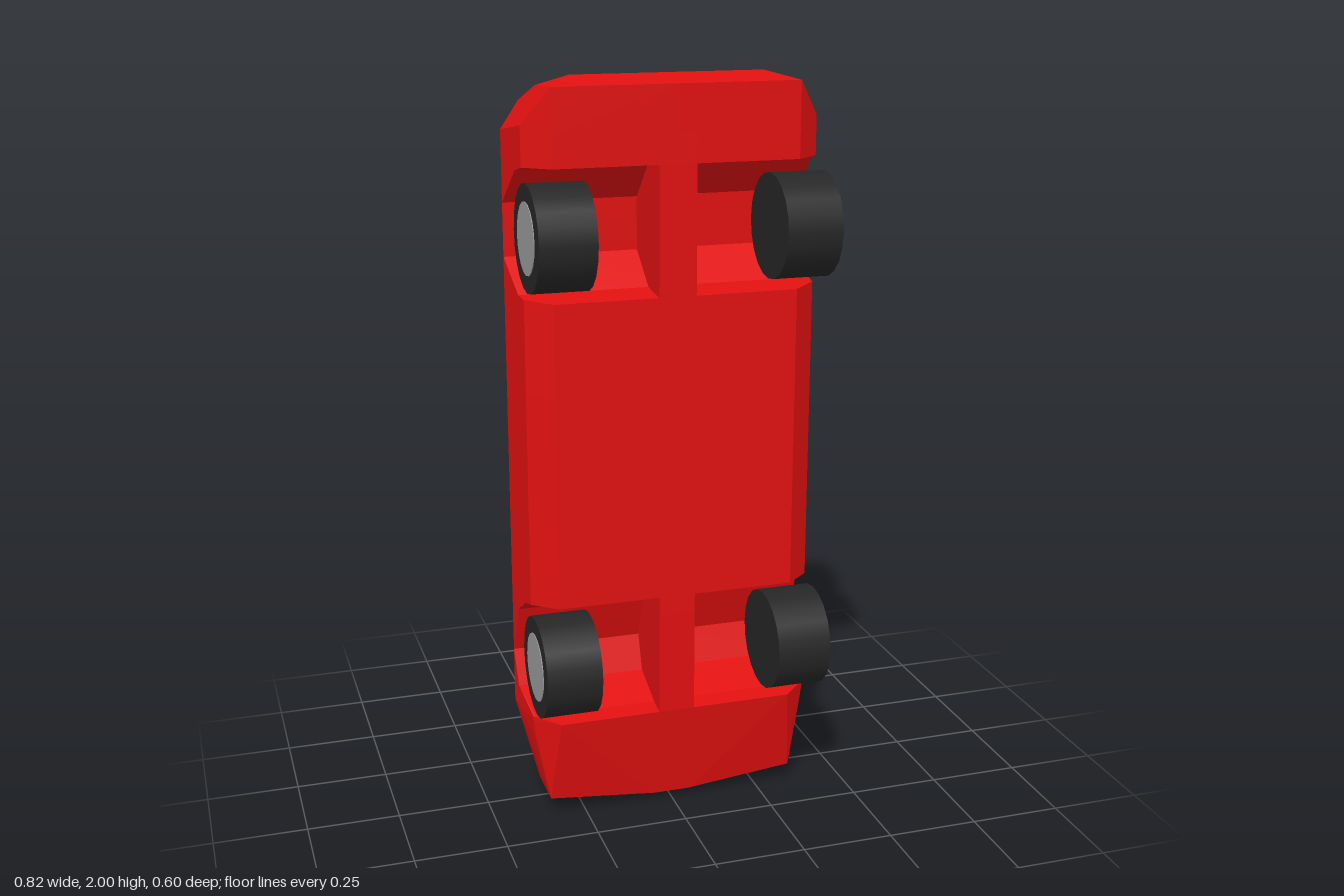
import * as THREE from 'three';

// piecewise-linear lookup through [t, value] points
function lerpAt(pts, t) {
  if (t <= pts[0][0]) return pts[0][1];
  for (let i = 1; i < pts.length; i++) {
    const [a, va] = pts[i - 1], [b, vb] = pts[i];
    if (t <= b) return va + (vb - va) * (t - a) / (b - a);
  }
  return pts[pts.length - 1][1];
}

// half width by depth z, roof depth by y, wheel-arch floor depth by y
const WIDTH = [[-0.303, 0.245], [-0.144, 0.365], [-0.035, 0.408], [0.11, 0.39], [0.165, 0.325]];
const ROOF = [[0.29, -0.157], [0.61, -0.267], [0.92, -0.3], [1.2, -0.264], [1.56, -0.11], [1.86, -0.053]];
const FLOOR = [
  [0.29, 0.165], [0.3, 0.115], [0.345, 0], [0.44, -0.035], [0.575, 0.01], [0.617, 0.07], [0.626, 0.165],
  [1.445, 0.165], [1.455, 0.07], [1.535, -0.035], [1.675, -0.035], [1.77, 0.065], [1.782, 0.165],
];
const BELT = -0.157, SHOULDER = -0.144;

export function createModel() {
  const model = new THREE.Group();
  const tris = { body: [], glass: [], grille: [], headlights: [] };

  const tri = (part, a, b, c) => {
    const n = new THREE.Vector3().subVectors(b, a).cross(new THREE.Vector3().subVectors(c, a));
    if (n.length() > 1e-7) for (const p of [a, b, c]) tris[part].push(p.x, p.y, p.z);
  };

  // closed ring around the car at height y
  function ring(y) {
    const h = lerpAt(ROOF, y), f = lerpAt(FLOOR, y);
    const at = (z) => [lerpAt(WIDTH, z), z];
    const half = [at(h), at(Math.max(h, BELT)), at(Math.max(h, SHOULDER)), at(-0.035),
      at(Math.min(0.11, f)), at(f), [0.05, f], [0.05, 0.165]];
    const right = half.map(([x, z]) => new THREE.Vector3(x, y, z));
    const left = half.map(([x, z]) => new THREE.Vector3(-x, y, z)).reverse();
    return [...right, ...left];
  }

  // main shell: loft between the rings, with glass in the cabin strips
  const levels = [...new Set([...ROOF, ...FLOOR].map((p) => p[0]).concat(1.45, 1.48))].sort((a, b) => a - b);
  const rings = levels.map(ring);
  for (let k = 0; k + 1 < rings.length; k++) {
    const lo = rings[k], hi = rings[k + 1], n = lo.length;
    const mid = (levels[k] + levels[k + 1]) / 2;
    const screen = mid < 0.61 || (mid > 1.2 && mid < 1.56);
    for (let i = 0; i < n; i++) {
      const j = (i + 1) % n;
      const part = i === 0 || i === n - 2 || (i === n - 1 && screen) ? 'glass' : 'body';
      tri(part, lo[i], hi[i], hi[j]);
      tri(part, lo[i], hi[j], lo[j]);
    }
  }

  // mirrored convex facet, turned to face away from the car's middle
  const centre = new THREE.Vector3(0, 1, 0);
  function facet(part, ...pts) {
    for (const s of [1, -1]) {
      const v = pts.map(([x, y, z]) => new THREE.Vector3(s * x, y, z));
      for (let i = 1; i + 1 < v.length; i++) {
        const [a, b, c] = [v[0], v[i], v[i + 1]];
        const n = b.clone().sub(a).cross(c.clone().sub(a));
        const out = a.clone().add(b).add(c).divideScalar(3).sub(centre);
        if (n.dot(out) > 0) tri(part, a, b, c); else tri(part, a, c, b);
      }
    }
  }
  const mid = (p) => [0, p[1], p[2]];

  // nose
  {
    const S = [lerpAt(WIDTH, -0.053), 1.86, -0.053], F = [0.408, 1.86, -0.035];
    const E0 = [0.39, 1.86, 0.11], E = [0.39, 1.885, 0.11];
    const D0 = [0.325, 1.86, 0.165], D = [0.325, 1.98, 0.165];
    const A = [0.36, 1.93, -0.04], B = [0.332, 1.973, 0.03], C = [0.255, 2, 0.075];
    const L0 = [0.155, 1.93, -0.04], L1 = [0.155, 2, 0.075];
    facet('body', S, A, mid(A), mid(S));
    facet('body', S, F, A);
    facet('body', B, A, F, E, D);
    facet('body', F, E0, E);
    facet('body', E0, D0, D, E);
    facet('body', D0, D, mid(D), mid(D0));
    facet('body', B, C, D);
    facet('body', C, D, mid(D), mid(C));
    facet('headlights', L0, A, B, C, L1);
    facet('grille', L0, L1, mid(L1), mid(L0));
  }

  // tail
  {
    const K0 = [lerpAt(WIDTH, BELT), 0.29, BELT], K = [0.353, 0.13, BELT];
    const R = [0.365, 0.29, SHOULDER], W = [0.408, 0.29, -0.035];
    const P1 = [0.39, 0.29, 0.11], P2 = [0.325, 0.29, 0.165], E = [0.385, 0.235, 0.105];
    const G = [0.348, 0.05, 0.12], J = [0.348, 0.05, -0.01];
    const H = [0.05, 0.02, 0.12], I = [0.05, 0, 0.04];
    facet('body', K0, K, mid(K), mid(K0));
    facet('body', K, K0, R, W);
    facet('body', W, J, K);
    facet('body', W, E, G, J);
    facet('body', W, P1, E);
    facet('body', P1, P2, G, E);
    facet('body', H, G, P2, mid(P2), mid(H));
    facet('body', J, G, H, I);
    facet('body', H, I, mid(I), mid(H));
    facet('body', K, J, I);
    facet('body', K, I, mid(I), mid(K));
  }

  const colors = { body: 0xe01010, glass: 0x666666, grille: 0x666666, headlights: 0xdddddd };
  for (const [name, list] of Object.entries(tris)) {
    const geo = new THREE.BufferGeometry();
    geo.setAttribute('position', new THREE.Float32BufferAttribute(list, 3));
    geo.computeVertexNormals();
    const mesh = new THREE.Mesh(geo, new THREE.MeshStandardMaterial({ color: colors[name], flatShading: true }));
    mesh.name = name;
    model.add(mesh);
  }

  // wheels with a hub disc on the outer face
  const tyreMat = new THREE.MeshStandardMaterial({ color: 0x262626 });
  const hubMat = new THREE.MeshStandardMaterial({ color: 0x999999 });
  const tyreGeo = new THREE.CylinderGeometry(0.137, 0.137, 0.148, 20).rotateZ(Math.PI / 2);
  const hubGeo = new THREE.CylinderGeometry(0.092, 0.092, 0.02, 20).rotateZ(Math.PI / 2);
  for (const [end, y] of [['front', 1.615], ['rear', 0.47]]) {
    for (const [side, s] of [['Left', 1], ['Right', -1]]) {
      const wheel = new THREE.Group();
      wheel.name = `${end}${side}Wheel`;
      const tyre = new THREE.Mesh(tyreGeo, tyreMat);
      tyre.name = 'tyre';
      const hub = new THREE.Mesh(hubGeo, hubMat);
      hub.name = 'hub';
      hub.position.x = s * 0.066;
      wheel.add(tyre, hub);
      wheel.position.set(s * 0.319, y, 0.165);
      model.add(wheel);
    }
  }
  return model;
}
